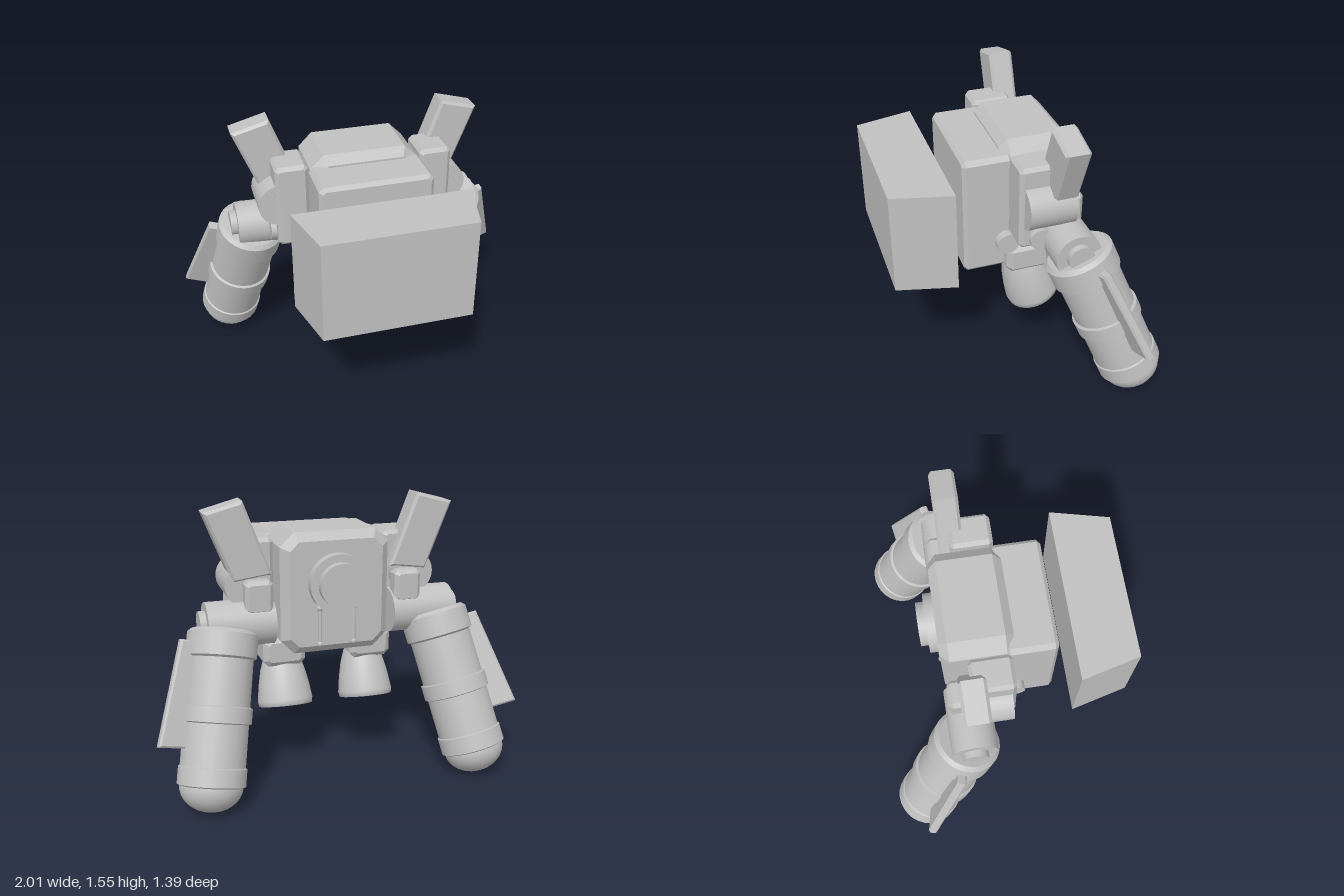
import * as THREE from 'three';

const grey = new THREE.MeshStandardMaterial({ color: 0xc0c0c0 });
grey.name = 'light grey';
const greyOpen = new THREE.MeshStandardMaterial({ color: 0xc0c0c0, side: THREE.DoubleSide });
greyOpen.name = 'light grey open';

function add(parent, name, geometry, x = 0, y = 0, z = 0, material = grey) {
  const mesh = new THREE.Mesh(geometry, material);
  mesh.name = name;
  mesh.position.set(x, y, z);
  parent.add(mesh);
  return mesh;
}

// Polygon pulled along z, with all edges chamfered by b, centred in z
function slab(points, depth, b) {
  const shape = new THREE.Shape(points.map(([x, y]) => new THREE.Vector2(x, y)));
  const g = new THREE.ExtrudeGeometry(shape, {
    depth: depth - 2 * b, bevelEnabled: b > 0, bevelThickness: b,
    bevelSize: b, bevelOffset: -b, bevelSegments: 1,
  });
  return g.translate(0, 0, b - depth / 2);
}

// Box with cut corners (c) and chamfered front and back edges (b)
function chamferBox(w, h, d, c, b) {
  const x = w / 2, y = h / 2;
  return slab([[-x + c, -y], [x - c, -y], [x, -y + c], [x, y - c],
    [x - c, y], [-x + c, y], [-x, y - c], [-x, -y + c]], d, b);
}

const rod = (r, length, axis) => {
  const g = new THREE.CylinderGeometry(r, r, length, 28);
  return axis === 'x' ? g.rotateZ(Math.PI / 2) : axis === 'z' ? g.rotateX(Math.PI / 2) : g;
};

// Long rounded pod with bands and an outer fin; local -y runs down its length
function makePod() {
  const pod = new THREE.Group();
  pod.name = 'pod';
  const profile = [[0, 0], [0.165, 0], [0.187, -0.02], [0.187, -0.14], [0.17, -0.15],
    [0.17, -0.395], [0.184, -0.4], [0.184, -0.48], [0.17, -0.485], [0.17, -0.705],
    [0.178, -0.71], [0.178, -0.8], [0.165, -0.806]];
  // each segment is turned separately so that the band edges stay sharp
  for (let i = 1; i < profile.length; i++) {
    const pts = [profile[i], profile[i - 1]].map(p => new THREE.Vector2(...p));
    add(pod, 'podShell', new THREE.LatheGeometry(pts, 28));
  }
  const dome = new THREE.SphereGeometry(0.165, 28, 8, 0, Math.PI * 2, Math.PI / 2, Math.PI / 2);
  add(pod, 'podDome', dome.scale(1, 0.8, 1), 0, -0.806, 0);
  const fin = slab([[0.15, -0.62], [0.305, -0.62], [0.235, -0.07], [0.15, -0.07]], 0.05, 0.01);
  add(pod, 'podFin', fin.rotateY(0.22));
  pod.position.set(0.6, 0.87, -0.235);
  pod.quaternion.setFromUnitVectors(new THREE.Vector3(0, -1, 0),
    new THREE.Vector3(0.2, -1, -0.405).normalize());
  return pod;
}

// Bell nozzle, open at the bottom and tilted back
function makeNozzle() {
  const nozzle = new THREE.Group();
  nozzle.name = 'nozzle';
  const bell = [[0.08, 0.02], [0.105, -0.04], [0.125, -0.1], [0.142, -0.18],
    [0.155, -0.27], [0.15, -0.3], [0.138, -0.3], [0.125, -0.18], [0.08, -0.08], [0, -0.06]];
  add(nozzle, 'nozzleBell', new THREE.LatheGeometry(bell.map(p => new THREE.Vector2(...p)), 28),
    0, 0, 0, greyOpen);
  nozzle.position.set(0.24, 0.65, -0.04);
  nozzle.rotation.x = 0.33;
  return nozzle;
}

function makeSide() {
  const side = new THREE.Group();
  // shoulder
  add(side, 'shoulderBlock', chamferBox(0.18, 0.475, 0.23, 0.02, 0.02), 0.4, 1.098, -0.075);
  add(side, 'shoulderDrum', rod(0.12, 0.255, 'z'), 0.465, 1.105, -0.112);
  add(side, 'shoulderBackPlate', chamferBox(0.15, 0.18, 0.1, 0.02, 0.02), 0.415, 1.045, -0.26);
  // upright wing
  add(side, 'wing', slab([[0.33, 1.15], [0.54, 1.12], [0.685, 1.49], [0.48, 1.545]], 0.135, 0.015),
    0, 0, -0.182);
  // pod joint
  add(side, 'jointArm', rod(0.06, 0.2, 'x'), 0.42, 0.92, -0.07);
  add(side, 'jointBarrel', rod(0.125, 0.36, 'x'), 0.51, 0.895, -0.21);
  add(side, 'jointPin', rod(0.07, 0.06, 'x'), 0.695, 0.905, -0.21);
  side.add(makePod());
  // nozzle with its mount
  add(side, 'nozzleMount', chamferBox(0.24, 0.17, 0.25, 0.03, 0.03), 0.25, 0.695, -0.065);
  add(side, 'mountHinge', rod(0.06, 0.1, 'x'), 0.31, 0.81, 0.055);
  side.add(makeNozzle());
  // back pipes with end knobs
  add(side, 'backPipe', rod(0.01, 0.22), 0.095, 0.87, -0.322);
  for (const y of [0.77, 0.97]) {
    add(side, 'pipeKnob', new THREE.SphereGeometry(0.017, 12, 8), 0.095, y, -0.322);
  }
  return side;
}

export function createModel() {
  const model = new THREE.Group();
  model.name = 'backpackUnit';

  // detached front block, narrower towards the front
  const block = new THREE.BoxGeometry(0.96, 0.565, 0.32);
  const p = block.attributes.position;
  for (let i = 0; i < p.count; i++) if (p.getZ(i) > 0) p.setX(i, p.getX(i) * 0.835);
  block.computeVertexNormals();
  add(model, 'frontBlock', block, 0, 0.972, 0.53);

  // body
  add(model, 'frontBody', chamferBox(0.62, 0.685, 0.27, 0.025, 0.02), 0, 0.977, 0.15);
  add(model, 'rearBody', chamferBox(0.6, 0.66, 0.385, 0.075, 0.045), 0, 1.045, -0.128);

  // round hatch and lower panel on the back
  add(model, 'hatchRim', rod(0.16, 0.07, 'z'), 0, 1.105, -0.335);
  add(model, 'hatchCap', rod(0.118, 0.1, 'z'), 0, 1.105, -0.363);
  add(model, 'backPanel', new THREE.BoxGeometry(0.17, 0.2, 0.008), 0, 0.87, -0.323);

  // paired parts
  const left = makeSide(), right = makeSide();
  left.name = 'leftSide';
  right.name = 'rightSide';
  right.scale.x = -1;
  model.add(left, right);
  return model;
}
